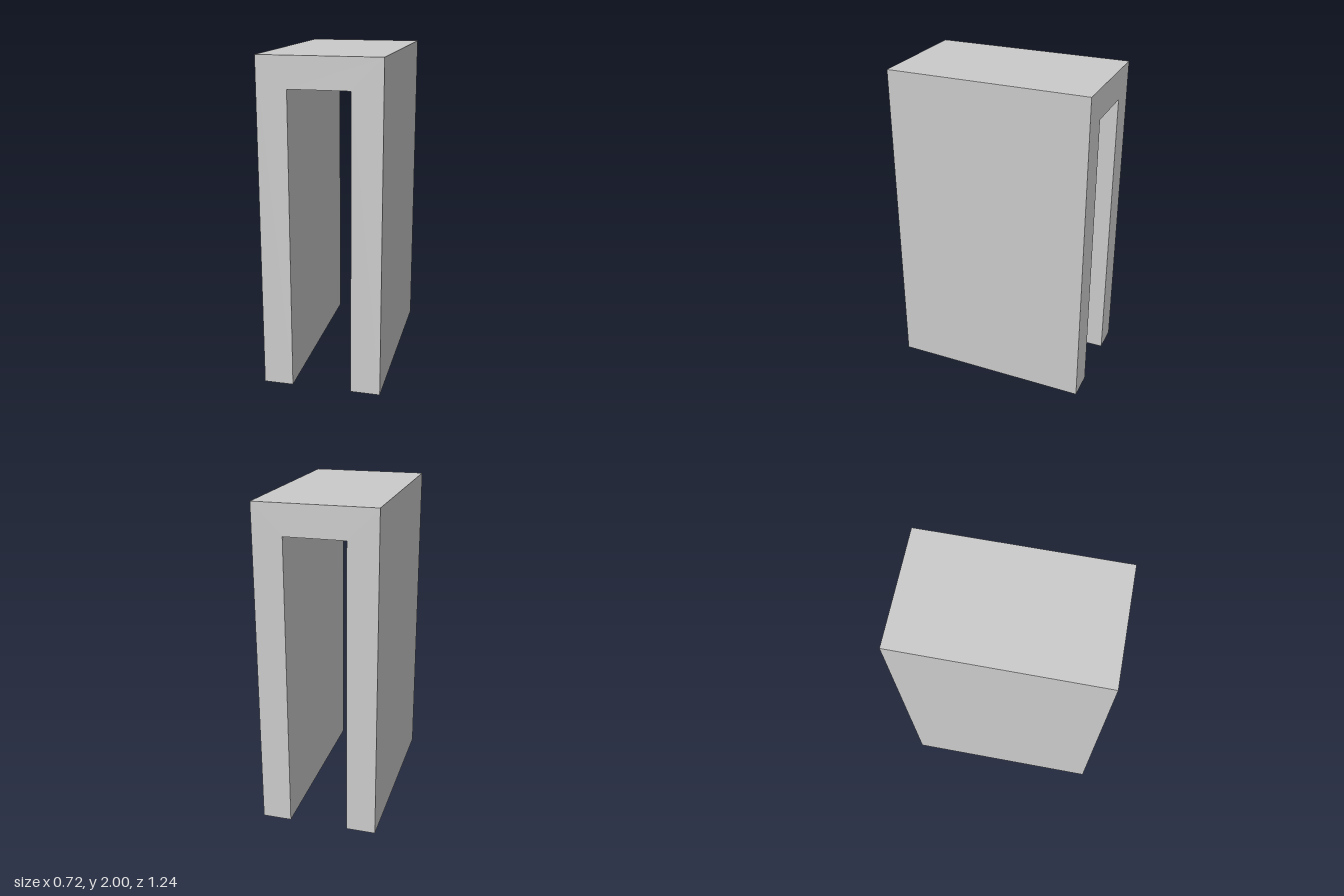
import * as THREE from 'three';

const HALF_WIDTH = 0.362;
const HALF_GAP = 0.182;
const HEIGHT = 2;
const GAP_HEIGHT = 1.815;
const DEPTH = 1.24;

export function createModel() {
  const group = new THREE.Group();
  group.name = 'channelBlock';

  // Upside-down U section: two side walls joined by a top slab
  const section = new THREE.Shape([
    [-HALF_WIDTH, 0], [-HALF_GAP, 0], [-HALF_GAP, GAP_HEIGHT], [HALF_GAP, GAP_HEIGHT],
    [HALF_GAP, 0], [HALF_WIDTH, 0], [HALF_WIDTH, HEIGHT], [-HALF_WIDTH, HEIGHT],
  ].map(([x, y]) => new THREE.Vector2(x, y)));

  // Extruded front to back and centred on z
  const geometry = new THREE.ExtrudeGeometry(section, { depth: DEPTH, bevelEnabled: false });
  geometry.translate(0, 0, -DEPTH / 2);

  const channel = new THREE.Mesh(
    geometry,
    new THREE.MeshStandardMaterial({ color: 0xcccccc, flatShading: true }),
  );
  channel.name = 'channel';
  group.add(channel);
  return group;
}
